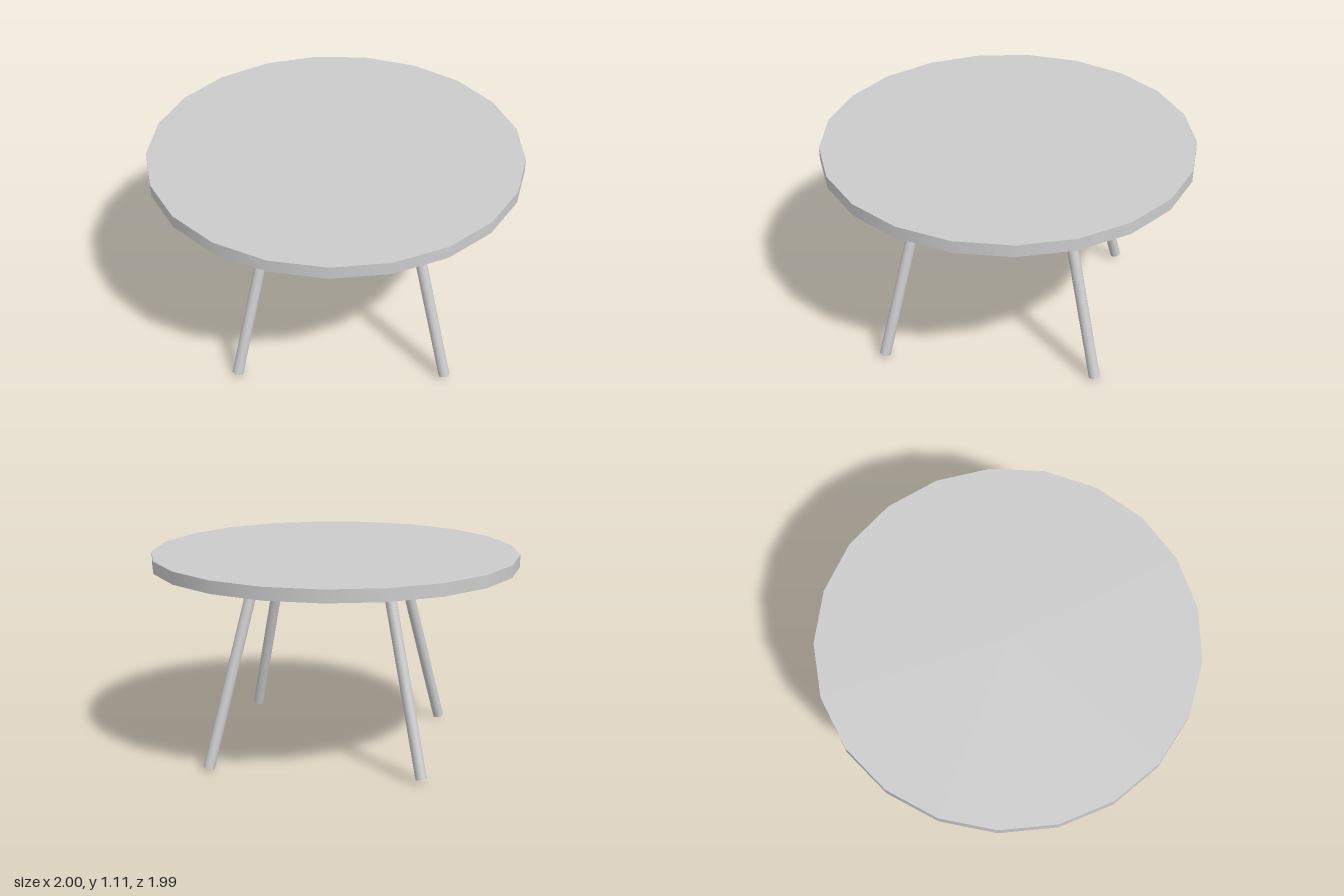
import * as THREE from 'three';

const material = new THREE.MeshStandardMaterial({ color: 0xcccccc });
const UP = new THREE.Vector3(0, 1, 0);

// Round rod between two points
function rod(name, foot, head, radius) {
  const a = new THREE.Vector3(...foot);
  const axis = new THREE.Vector3(...head).sub(a);
  const mesh = new THREE.Mesh(new THREE.CylinderGeometry(radius, radius, axis.length(), 20), material);
  mesh.name = name;
  mesh.position.copy(a).addScaledVector(axis, 0.5);
  mesh.quaternion.setFromUnitVectors(UP, axis.normalize());
  return mesh;
}

export function createModel() {
  const table = new THREE.Group();
  table.name = 'roundTable';

  // 21-sided disc with one corner pointing to the back
  const top = new THREE.Mesh(new THREE.CylinderGeometry(1.003, 1.003, 0.067, 21), material);
  top.name = 'tableTop';
  top.rotation.y = Math.PI;
  top.position.set(0, 1.0735, 0.003);
  table.add(top);

  // Four splayed legs: name, foot, head
  const legs = [
    ['leftLeg', [0.834, 0.022, 0.007], [0.525, 1.045, 0.01]],
    ['rightLeg', [-0.797, 0.028, -0.017], [-0.488, 1.045, -0.017]],
    ['frontLeg', [0.01, 0.01, 0.778], [0.015, 1.045, 0.46]],
    ['backLeg', [0.02, 0.012, -0.81], [0.019, 1.045, -0.493]],
  ];
  for (const [name, foot, head] of legs) table.add(rod(name, foot, head, 0.03));

  return table;
}
